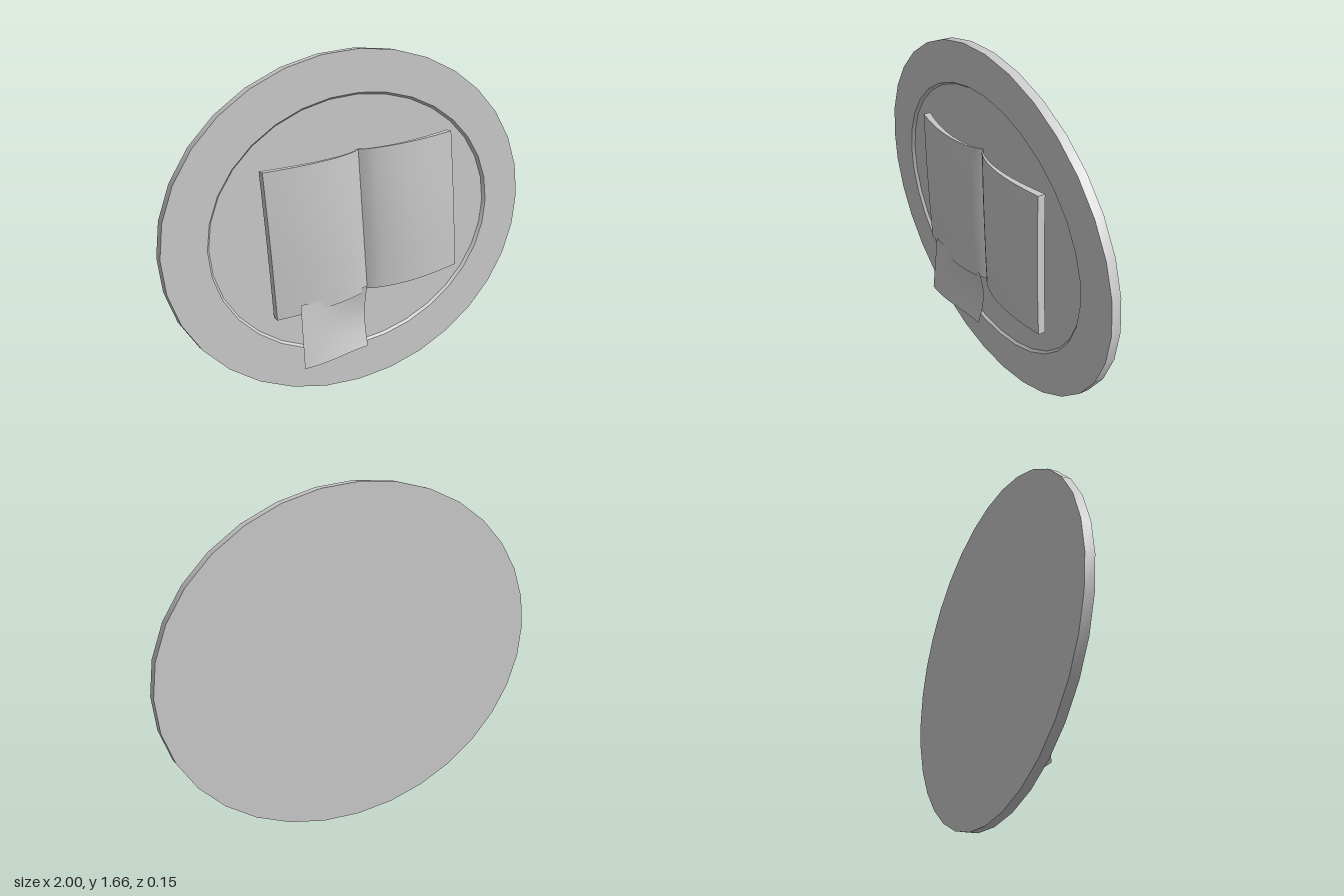
import * as THREE from 'three';
import { toCreasedNormals } from 'three/addons/utils/BufferGeometryUtils.js';

const grey = new THREE.MeshStandardMaterial({ color: 0xcccccc, side: THREE.DoubleSide });

// Move every vertex of a geometry by a rule, then refresh its normals
function bend(geometry, rule, crease) {
  const p = geometry.attributes.position;
  const v = new THREE.Vector3();
  for (let i = 0; i < p.count; i++) {
    v.fromBufferAttribute(p, i);
    rule(v);
    p.setXYZ(i, v.x, v.y, v.z);
  }
  geometry.computeVertexNormals();
  return crease ? toCreasedNormals(geometry, crease) : geometry;
}

function part(name, geometry) {
  const mesh = new THREE.Mesh(geometry, grey);
  mesh.name = name;
  return mesh;
}

// Oval plate with a shallow recess whose wall slopes slightly
function makePlate() {
  const back = -0.073, front = -0.028, floor = -0.042;
  const profile = [[0, back], [1, back], [1, front], [0.785, front], [0.773, floor], [0, floor]]
    .map(([r, z]) => new THREE.Vector2(r, z));
  const geometry = new THREE.LatheGeometry(profile, 32);
  geometry.rotateX(Math.PI / 2);
  return part('plate', bend(geometry, v => {
    v.y *= Math.hypot(v.x, v.y) > 0.9 ? 0.83 : 0.803;
  }, 0.5));
}

// Half of the open book: pages rise steeply from the spine and droop to the edge
function makeBookHalf(side) {
  const width = 0.52, height = 0.71;
  const geometry = new THREE.BoxGeometry(width, height, 1, 18, 10, 1);
  return bend(geometry, v => {
    v.x += side * width / 2;
    const u = Math.min(1, Math.abs(v.x) / width);
    const bulge = 0.066 + 0.008 * Math.cos(Math.PI * v.y / height);
    const face = -0.022 + bulge * Math.sin(0.8 * Math.PI * Math.pow(u, 0.7));
    const thickness = 0.006 + 0.03 * u;
    v.z = v.z > 0 ? face : face - thickness;
  }, 0.7);
}

// Loose curled slip of paper
function makeNote() {
  const geometry = new THREE.PlaneGeometry(0.39, 0.315, 14, 12);
  return part('note', bend(geometry, v => {
    const s = v.x / 0.39 + 0.5, t = 0.5 - v.y / 0.315;
    const left = 0.045 + 0.03 * t;
    const right = 0.01 + 0.008 * t - 0.026 * Math.sin(Math.PI * t);
    const e = s * s * (3 - 2 * s);
    v.z = left * (1 - e) + right * e + 0.008 * Math.sin(Math.PI * s);
    v.y += 0.004 * (s - 0.5) * (1 - t);
  }));
}

export function createModel() {
  const model = new THREE.Group();
  model.name = 'bookPlaque';

  const plate = makePlate();
  plate.position.y = 0.83;

  const book = new THREE.Group();
  book.name = 'openBook';
  book.add(part('rightPages', makeBookHalf(-1)), part('leftPages', makeBookHalf(1)));
  book.position.set(0.015, 0.842, 0);
  book.rotation.z = 0.073;

  const note = makeNote();
  note.position.set(-0.175, 0.355, 0);

  model.add(plate, book, note);
  return model;
}
